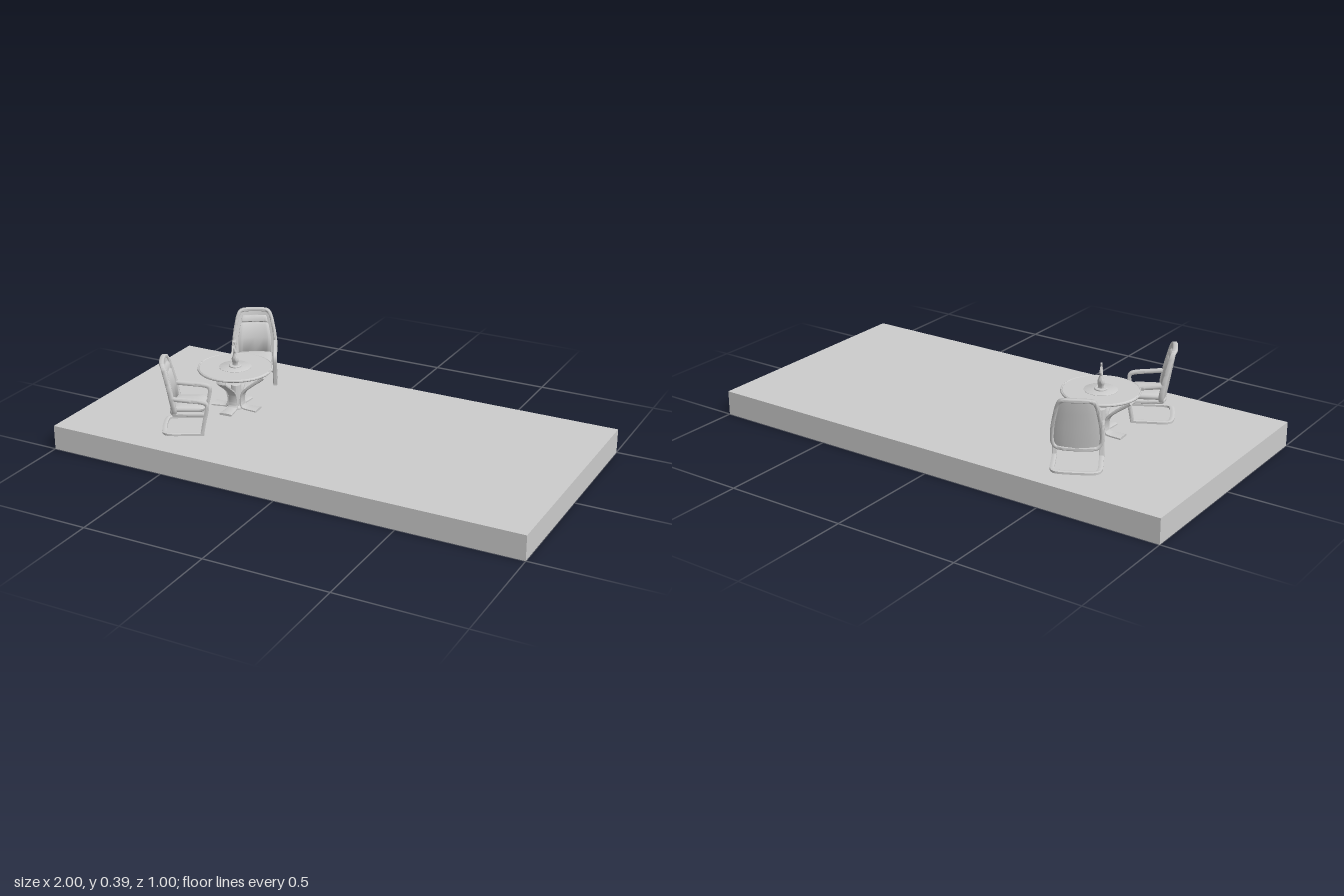
import * as THREE from 'three';
import { toCreasedNormals } from 'three/addons/utils/BufferGeometryUtils.js';

const V = (x, y, z) => new THREE.Vector3(x, y, z);
const material = new THREE.MeshStandardMaterial({ color: 0xcccccc });
const FLOOR = 0.1;

function add(parent, name, geometry) {
  const mesh = new THREE.Mesh(geometry, material);
  mesh.name = name;
  parent.add(mesh);
  return mesh;
}

// Skin a list of rings (each a list of points); open skins get end caps.
function skin(rings, closed = false, crease = 0.7) {
  const n = rings[0].length, m = rings.length;
  const points = rings.flat(), index = [];
  for (let i = 0; i < (closed ? m : m - 1); i++) {
    for (let j = 0; j < n; j++) {
      const k = (j + 1) % n, up = ((i + 1) % m) * n;
      index.push(i * n + j, i * n + k, up + k, i * n + j, up + k, up + j);
    }
  }
  if (!closed) {
    [0, m - 1].forEach((r) => {
      const c = points.length;
      points.push(rings[r].reduce((s, p) => s.add(p), V(0, 0, 0)).divideScalar(n));
      for (let j = 0; j < n; j++) {
        const a = r * n + j, b = r * n + (j + 1) % n;
        r ? index.push(c, a, b) : index.push(c, b, a);
      }
    });
  }
  const g = new THREE.BufferGeometry().setFromPoints(points);
  g.setIndex(index);
  return toCreasedNormals(g, crease);
}

// Sweep a chamfered bar along a smooth path; width lies along `side`.
function bar(path, side, width, thick, closed = false, steps = 40) {
  const curve = new THREE.CatmullRomCurve3(path, closed, 'centripetal');
  const rings = [];
  const corners = [[1, -0.5], [1, 0.5], [0.7, 1], [-0.7, 1], [-1, 0.5], [-1, -0.5], [-0.7, -1], [0.7, -1]];
  for (let i = 0; i < (closed ? steps : steps + 1); i++) {
    const t = i / steps, p = curve.getPointAt(t);
    const normal = curve.getTangentAt(t).cross(side).normalize();
    const w = typeof width === 'function' ? width(t) : width;
    rings.push(corners.map(([a, b]) => p.clone()
      .addScaledVector(side, a * w / 2).addScaledVector(normal, b * thick / 2)));
  }
  return skin(rings, closed, 0.9);
}

// Upholstered form: levels are [y, z, halfWidth, halfDepth]; bend curls the sides forward.
function pad(levels, bend = 0, power = 5, twist = 0) {
  const rings = levels.map(([y, z, w, d], i) => {
    const ring = [], s = Math.sin(twist * i), c = Math.cos(twist * i);
    for (let j = 0; j < 32; j++) {
      const a = -j / 32 * Math.PI * 2;
      const soft = (v) => Math.sign(v) * Math.abs(v) ** (2 / power);
      const x = w * soft(Math.cos(a)), q = d * soft(Math.sin(a));
      ring.push(V(x * c - q * s, y, z + x * s + q * c + bend * x * x));
    }
    return ring;
  });
  return skin(rings, false, 1);
}

const lean = (y) => -0.06 - 0.17 * (y - 0.09);
const BEND = 2.5;

function createChair(name, x, z, yaw) {
  const chair = new THREE.Group();
  chair.name = name;

  // curved back: shell, surrounding rim, cushion and head pillow
  const level = (y, w, d, forward = 0) => [y, lean(y) + forward, w, d];
  add(chair, 'backShell', pad([level(0.09, 0.078, 0.004), level(0.12, 0.088, 0.005),
    level(0.17, 0.086, 0.005), level(0.23, 0.075, 0.005), level(0.27, 0.066, 0.005),
    level(0.283, 0.055, 0.004)], BEND));
  const half = [[0.05, 0.086], [0.076, 0.089], [0.087, 0.105], [0.088, 0.16], [0.08, 0.215],
    [0.068, 0.265], [0.058, 0.28], [0.04, 0.284]];
  const rim = [...half, ...half.map(([a, b]) => [-a, b]).reverse()]
    .map(([a, b]) => V(a, b, lean(b) + BEND * a * a));
  add(chair, 'backRim', bar(rim, V(0, 0, 1), 0.02, 0.014, true, 80));
  add(chair, 'backCushion', pad([level(0.1, 0.066, 0.004, 0.006), level(0.106, 0.071, 0.01, 0.007),
    level(0.17, 0.069, 0.011, 0.007), level(0.226, 0.06, 0.01, 0.007),
    level(0.231, 0.055, 0.004, 0.006)], BEND));
  add(chair, 'headPillow', pad([level(0.234, 0.052, 0.004, 0.006), level(0.239, 0.056, 0.01, 0.007),
    level(0.256, 0.053, 0.01, 0.007), level(0.262, 0.048, 0.004, 0.006)], BEND));

  // seat
  add(chair, 'seatPan', pad([[0.081, 0.008, 0.07, 0.062], [0.085, 0.008, 0.077, 0.068],
    [0.092, 0.008, 0.077, 0.068]], 0, 8));
  add(chair, 'seatCushion', pad([[0.092, 0.01, 0.069, 0.062], [0.096, 0.01, 0.073, 0.066],
    [0.106, 0.01, 0.073, 0.066], [0.111, 0.01, 0.066, 0.058], [0.113, 0.008, 0.04, 0.035]], 0, 7));

  // armrests running down into the front legs, with seat rails
  for (const s of [-1, 1]) {
    const sidePath = [[0.155, -0.052], [0.149, 0], [0.141, 0.065], [0.134, 0.081], [0.12, 0.085],
      [0.06, 0.073], [0.006, 0.063]].map(([y, q]) => V(s * 0.087, y, q));
    add(chair, s > 0 ? 'leftArmAndLeg' : 'rightArmAndLeg', bar(sidePath, V(1, 0, 0), 0.018, 0.015));
    add(chair, s > 0 ? 'leftSeatRail' : 'rightSeatRail',
      bar([V(s * 0.081, 0.088, -0.05), V(s * 0.081, 0.086, 0), V(s * 0.083, 0.086, 0.077)],
        V(1, 0, 0), 0.012, 0.012));
  }

  // floor runner, a U closed at the rear
  const run = [[0.087, 0.07], [0.087, 0], [0.086, -0.06], [0.078, -0.08], [0.06, -0.087]];
  const floorPath = [...run, ...run.map(([a, b]) => [-a, b]).reverse()].map(([a, b]) => V(a, 0.006, b));
  add(chair, 'floorRunner', bar(floorPath, V(0, 1, 0), 0.012, 0.018, false, 60));

  chair.position.set(x, FLOOR, z);
  chair.rotation.y = yaw;
  return chair;
}

function lathe(profile) {
  return toCreasedNormals(new THREE.LatheGeometry(profile.map(([r, y]) => new THREE.Vector2(r, y)), 64), 0.5);
}

function createTable() {
  const table = new THREE.Group();
  table.name = 'table';
  add(table, 'tableTop', lathe([[0, 0.164], [0.143, 0.164], [0.15, 0.167], [0.153, 0.171], [0.152, 0.175],
    [0.149, 0.177], [0.147, 0.1755], [0.145, 0.177], [0, 0.177]]));
  add(table, 'centreDisc', lathe([[0.065, 0.176], [0.065, 0.178], [0.063, 0.179], [0, 0.179]]));
  add(table, 'column', lathe([[0, 0], [0.035, 0], [0.035, 0.006], [0.022, 0.012], [0.02, 0.1], [0, 0.104]]));

  // four legs: bracket under the top, diagonal strut, upright and flat foot
  const legPath = [[0.025, 0.157], [0.08, 0.157], [0.122, 0.157], [0.13, 0.151], [0.122, 0.143],
    [0.075, 0.108], [0.04, 0.077], [0.03, 0.055], [0.029, 0.02], [0.036, 0.008], [0.055, 0.005],
    [0.1, 0.004]].map(([r, y]) => V(0, y, r));
  for (let i = 0; i < 4; i++) {
    const leg = add(table, 'tableLeg', bar(legPath, V(1, 0, 0),
      (t) => 0.034 + 0.02 * Math.abs(2 * t - 1) ** 2, 0.011, false, 70));
    leg.rotation.y = i * Math.PI / 2 + 0.08;
  }

  // twisted ornament with an open loop at the shoulders
  const ornament = new THREE.Group();
  ornament.name = 'ornament';
  add(ornament, 'ornamentBase', lathe([[0, 0], [0.025, 0], [0.025, 0.005], [0.022, 0.007], [0, 0.007]]));
  add(ornament, 'ornamentBody', pad([[0.006, 0, 0.012, 0.01], [0.014, 0, 0.011, 0.009],
    [0.024, 0, 0.016, 0.011], [0.032, 0, 0.018, 0.012], [0.042, 0, 0.014, 0.01],
    [0.053, 0, 0.008, 0.007], [0.061, 0, 0.008, 0.007]], 0, 2.3, 0.2));
  for (const s of [-1, 1]) {
    const strand = [[0, 0.056], [0.008, 0.065], [0.014, 0.074], [0.008, 0.085], [0.001, 0.092], [-0.003, 0.106]];
    add(ornament, 'ornamentStrand', bar(strand.map(([q, y]) => V(s * q * 0.4, y - (s > 0 ? 0 : q * 0.2), s * q)),
      V(1, 0, 0), (t) => 0.01 - 0.004 * t, 0.007, false, 30));
  }
  ornament.position.y = 0.178;
  table.add(ornament);

  table.position.set(-0.455, FLOOR, 0);
  return table;
}

export function createModel() {
  const model = new THREE.Group();
  model.name = 'terraceSet';
  add(model, 'platform', new THREE.BoxGeometry(2, FLOOR, 1)).position.y = FLOOR / 2;
  model.add(createTable());
  model.add(createChair('frontChair', -0.523, 0.26, 2.06));
  model.add(createChair('rearChair', -0.535, -0.29, 0.5));
  return model;
}
